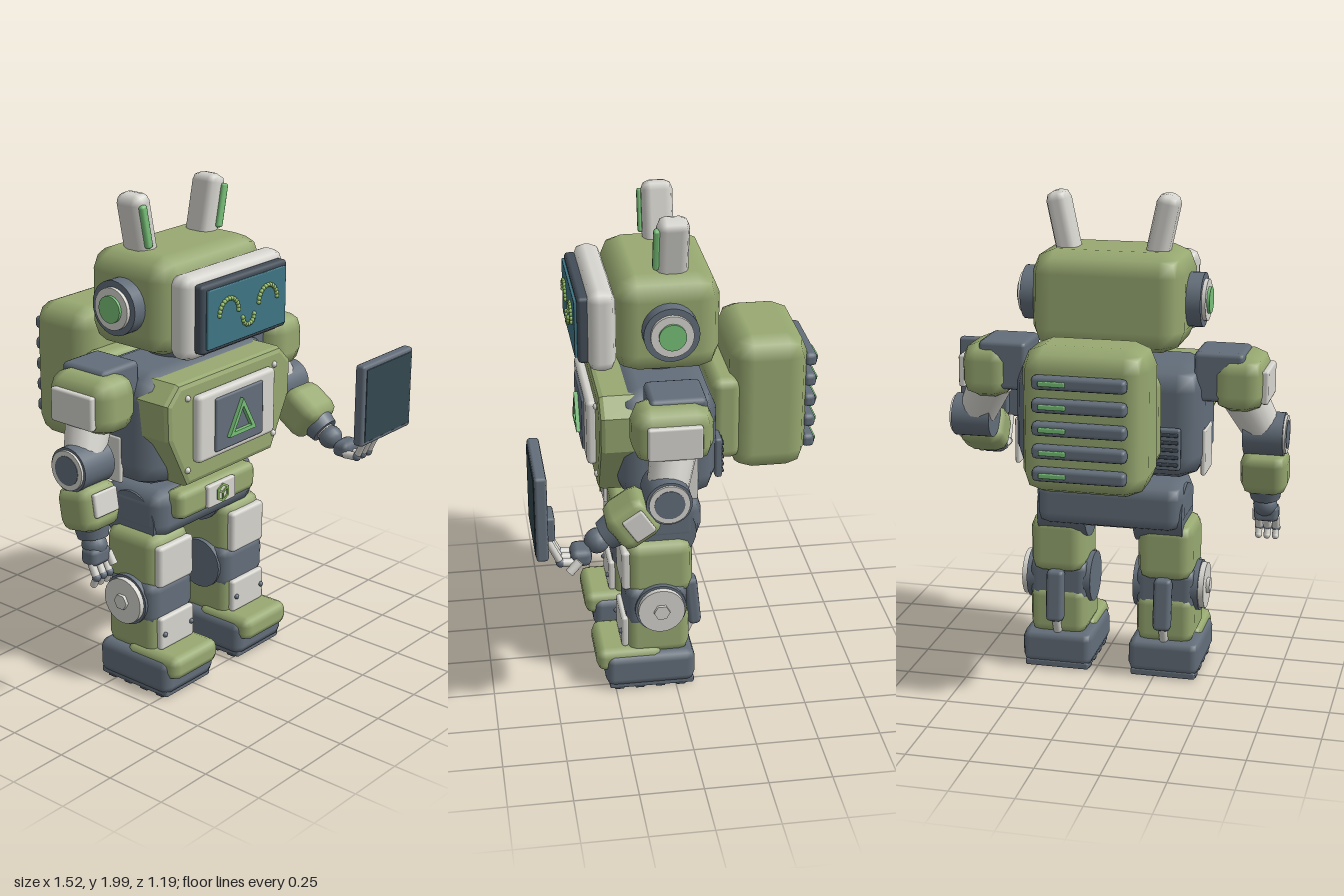
import * as THREE from 'three';

const paint = (name, color) => {
  const m = new THREE.MeshStandardMaterial({ color });
  m.name = name;
  return m;
};

// Box with rounded edges: flat faces, two-step fillets of size c
function softBox(w, h, d, c) {
  const g = new THREE.BoxGeometry(w, h, d, 3, 3, 3);
  const half = [w / 2, h / 2, d / 2];
  c = Math.min(c, ...half.map(v => v * 0.95));
  const p = g.attributes.position, n = g.attributes.normal;
  for (let i = 0; i < p.count; i++) {
    const v = [p.getX(i), p.getY(i), p.getZ(i)];
    const outer = v.map((q, k) => Math.abs(q) > half[k] * 0.9);
    const inset = [0, 0, 0.293, 0.423][outer.filter(Boolean).length] * c;
    const q = v.map((a, k) => Math.sign(a) * (half[k] - (outer[k] ? inset : c)));
    const nn = new THREE.Vector3(...v.map((a, k) => (outer[k] ? Math.sign(a) : 0))).normalize();
    p.setXYZ(i, ...q);
    n.setXYZ(i, nn.x, nn.y, nn.z);
  }
  return g;
}

// Flat polygon outline with n sides, first corner up
function polygonRing(n, r, width, depth) {
  const pts = rad => Array.from({ length: n }, (_, i) => {
    const a = Math.PI / 2 + (i * 2 * Math.PI) / n;
    return new THREE.Vector2(Math.cos(a) * rad, Math.sin(a) * rad);
  });
  const s = new THREE.Shape(pts(r));
  s.holes.push(new THREE.Path(pts(r - width / Math.cos(Math.PI / n))));
  return new THREE.ExtrudeGeometry(s, { depth, bevelEnabled: false });
}

export function createModel() {
  const green = paint('olive armour', 0x98a971), dark = paint('slate grey', 0x636e7a);
  const white = paint('warm white', 0xd6d5cf), bezel = paint('dark bezel', 0x434d58);
  const screen = paint('teal screen', 0x3f7584), glass = paint('tablet glass', 0x33474f);
  const glow = paint('signal green', 0x78c078), eye = paint('display green', 0x8fbb62);

  const root = new THREE.Group();
  const body = new THREE.Group();
  body.name = 'robot';
  body.position.x = -0.065;
  root.add(body);

  const add = (name, geo, mat, x, y, z, parent = body) => {
    const m = new THREE.Mesh(geo, mat);
    m.name = name;
    m.position.set(x, y, z);
    parent.add(m);
    return m;
  };
  const box = (name, mat, w, h, d, x, y, z, c = 0.02, parent = body) =>
    add(name, softBox(w, h, d, c), mat, x, y, z, parent);
  const disc = (name, mat, r, w, x, y, z, parent = body, sides = 28) =>
    add(name, new THREE.CylinderGeometry(r, r, w, sides).rotateZ(Math.PI / 2), mat, x, y, z, parent);
  const ball = (name, mat, r, x, y, z, parent = body) =>
    add(name, new THREE.SphereGeometry(r, 14, 10), mat, x, y, z, parent);
  const rod = (name, mat, a, b, r, r2 = r) => {
    const A = new THREE.Vector3(...a), B = new THREE.Vector3(...b), d = B.clone().sub(A);
    const m = add(name, new THREE.CylinderGeometry(r2, r, d.length(), 16), mat, 0, 0, 0);
    m.position.copy(A).lerp(B, 0.5);
    m.quaternion.setFromUnitVectors(new THREE.Vector3(0, 1, 0), d.normalize());
  };

  // Head and face display
  box('head', green, 0.61, 0.395, 0.415, 0, 1.578, 0.022, 0.09);
  box('faceFrame', white, 0.584, 0.335, 0.11, 0, 1.565, 0.275, 0.045);
  box('faceBezel', bezel, 0.51, 0.27, 0.05, 0, 1.567, 0.341, 0.015);
  box('faceScreen', screen, 0.47, 0.23, 0.012, 0, 1.567, 0.371, 0.004);
  const beads = (name, x, y, r, start, count) => {
    for (let i = 0; i < count; i++) {
      const a = start + (Math.PI * i) / (count - 1);
      ball(name, eye, 0.009, x + r * Math.cos(a), y + r * Math.sin(a), 0.38);
    }
  };
  beads('eye', -0.117, 1.575, 0.056, 0, 13);
  beads('eye', 0.117, 1.575, 0.056, 0, 13);
  beads('smile', 0, 1.537, 0.034, Math.PI, 9);
  add('neck', new THREE.CylinderGeometry(0.15, 0.12, 0.1, 28), dark, 0, 1.35, 0.03);

  // Torso with chest panel
  box('torso', dark, 0.77, 0.465, 0.40, 0, 1.103, 0.035, 0.1);
  const plate = new THREE.Shape([[-0.30, 1.295], [-0.355, 1.24], [-0.35, 1.11], [-0.25, 0.915],
    [0.25, 0.915], [0.35, 1.11], [0.355, 1.24], [0.30, 1.295]].map(q => new THREE.Vector2(...q)));
  add('chestArmour', new THREE.ExtrudeGeometry(plate, { depth: 0.17, bevelSize: 0.022, bevelThickness: 0.022, bevelSegments: 2 }),
    green, 0, 0, 0.11);
  box('chestPanel', white, 0.47, 0.275, 0.045, 0, 1.122, 0.315, 0.018);
  box('chestDisplay', dark, 0.29, 0.22, 0.02, 0, 1.12, 0.337, 0.008);
  add('chestTriangle', polygonRing(3, 0.094, 0.016, 0.018), glow, 0, 1.105, 0.345);

  // Waist, pelvis and belt
  add('waist', new THREE.CylinderGeometry(0.155, 0.155, 0.12, 28), dark, 0, 0.865, 0.03);
  box('pelvis', dark, 0.61, 0.2, 0.31, 0, 0.735, 0.04, 0.06);
  box('belt', green, 0.47, 0.12, 0.09, 0, 0.775, 0.2, 0.03);
  box('buckle', white, 0.17, 0.095, 0.025, 0, 0.777, 0.247, 0.008);
  add('buckleHexagon', polygonRing(6, 0.04, 0.009, 0.008), eye, 0, 0.777, 0.257);
  for (let i = 0; i < 3; i++) {
    const a = Math.PI / 6 + (i * 2 * Math.PI) / 3;
    const spoke = add('buckleSpoke', new THREE.BoxGeometry(0.036, 0.008, 0.008), eye,
      0.018 * Math.cos(a), 0.777 + 0.018 * Math.sin(a), 0.261);
    spoke.rotation.z = a;
  }

  // Backpack with vents
  box('backpackMount', green, 0.47, 0.35, 0.12, 0, 1.14, -0.22, 0.04);
  box('backpack', green, 0.49, 0.575, 0.31, 0, 1.188, -0.395, 0.085);
  for (let i = 0; i < 5; i++) {
    const y = 1.355 - i * 0.089;
    box('backpackVent', dark, 0.366, 0.055, 0.05, 0, y, -0.565, 0.018);
    box('ventLight', glow, 0.105, 0.02, 0.012, 0.1, y, -0.592, 0.005);
  }

  for (const s of [-1, 1]) {
    // Ears and antennas
    disc('earBase', dark, 0.108, 0.075, s * 0.325, 1.577, 0.02);
    disc('earRing', white, 0.083, 0.02, s * 0.368, 1.577, 0.02);
    disc('earLight', glow, 0.053, 0.022, s * 0.378, 1.577, 0.02);
    const antenna = new THREE.Group();
    antenna.name = 'antenna';
    antenna.position.set(s * 0.2, 1.86, -0.005);
    antenna.rotation.z = -s * 0.21;
    body.add(antenna);
    box('antennaBlade', white, 0.09, 0.27, 0.125, 0, 0, 0, 0.035, antenna);
    box('antennaLight', glow, 0.032, 0.175, 0.025, s * 0.02, 0.015, 0.065, 0.01, antenna);

    // Torso details
    for (const y of [1.255, 0.963]) ball('chestScrew', white, 0.013, s * 0.265, y, 0.302);
    box('sidePlate', white, 0.02, 0.19, 0.15, s * 0.382, 0.98, -0.005, 0.008);
    box('backGrille', dark, 0.1, 0.17, 0.03, s * 0.26, 1.015, -0.175, 0.01);
    for (let i = 0; i < 5; i++) box('grilleSlat', bezel, 0.085, 0.014, 0.025, s * 0.26, 0.955 + i * 0.03, -0.185, 0.004);

    // Shoulder, upper arm and elbow
    box('shoulderJoint', dark, 0.2, 0.2, 0.22, s * 0.44, 1.29, 0.02, 0.02);
    box('shoulderPad', green, 0.205, 0.225, 0.31, s * 0.515, 1.262, 0.045, 0.07);
    box('shoulderPlate', white, 0.03, 0.135, 0.21, s * 0.618, 1.252, 0.045, 0.01);
    rod('upperArm', white, [s * 0.52, 1.2, 0.035], [s * 0.60, 1.04, 0.075], 0.092, 0.078);
    disc('elbow', dark, 0.088, 0.16, s * 0.605, 1.035, 0.078);
    disc('elbowRim', white, 0.078, 0.02, s * 0.685, 1.035, 0.078);
    disc('elbowCap', dark, 0.058, 0.01, s * 0.692, 1.035, 0.078);

    // Forearm, the left one raised
    const arm = new THREE.Group();
    arm.name = 'forearm';
    arm.position.set(s * 0.605, 1.035, 0.078);
    arm.rotation.x = s > 0 ? -0.98 : -0.16;
    body.add(arm);
    box('forearmShell', green, 0.19, 0.185, 0.175, 0, -0.16, 0, 0.05, arm);
    if (s > 0) box('forearmPlate', white, 0.02, 0.09, 0.105, 0.095, -0.14, 0, 0.008, arm);
    else box('forearmPlate', white, 0.125, 0.095, 0.02, 0, -0.14, 0.09, 0.008, arm);
    add('forearmCuff', new THREE.CylinderGeometry(0.07, 0.06, 0.05, 20), dark, 0, -0.26, 0, arm);
    add('wrist', new THREE.CylinderGeometry(0.04, 0.04, 0.06, 16), white, 0, -0.3, 0, arm);
    ball('wristJoint', dark, 0.05, 0, -0.32, 0, arm);

    // Leg
    const x = s * 0.225;
    disc('hip', dark, 0.125, 0.2, s * 0.2, 0.69, 0.035);
    box('thigh', green, 0.23, 0.25, 0.275, x, 0.54, 0.062, 0.055);
    box('thighPlate', white, 0.2, 0.175, 0.04, x, 0.538, 0.197, 0.015);
    box('kneeBlock', dark, 0.255, 0.19, 0.25, x, 0.375, 0.075, 0.045);
    disc('kneeJoint', dark, 0.105, 0.27, x, 0.375, 0.063);
    disc('kneeCap', white, 0.095, 0.03, s * 0.367, 0.375, 0.063);
    disc('kneeBolt', white, 0.033, 0.02, s * 0.386, 0.375, 0.063, body, 6);
    box('shin', green, 0.24, 0.21, 0.26, x, 0.25, 0.07, 0.045);
    box('shinPlate', white, 0.2, 0.14, 0.03, x, 0.252, 0.205, 0.012);
    for (const k of [-1, 1]) ball('shinScrew', dark, 0.011, x + k * 0.08, 0.25, 0.221);
    const piston = box('calfGuard', dark, 0.075, 0.22, 0.055, x, 0.33, -0.085, 0.02);
    piston.rotation.x = 0.1;
    rod('calfRod', white, [x, 0.25, -0.09], [x, 0.165, -0.05], 0.018);

    // Foot with treads
    box('boot', dark, 0.296, 0.145, 0.37, x, 0.09, 0.105, 0.035);
    box('toeCap', green, 0.27, 0.1, 0.27, x, 0.135, 0.19, 0.035);
    box('sole', dark, 0.27, 0.03, 0.35, x, 0.02, 0.1, 0.008);
    for (let i = 0; i < 4; i++) for (const k of [-1, 1])
      box('tread', bezel, 0.05, 0.02, 0.04, x + k * 0.11, 0.01, -0.02 + i * 0.085, 0.005);
  }

  // Relaxed right hand
  box('rightPalm', dark, 0.1, 0.07, 0.075, -0.61, 0.685, 0.14, 0.02);
  for (let i = 0; i < 3; i++) {
    const x = -0.645 + i * 0.035;
    rod('rightFinger', white, [x, 0.66, 0.15], [x, 0.61, 0.175], 0.016);
    ball('rightKnuckle', dark, 0.018, x, 0.61, 0.175);
    rod('rightFingertip', white, [x, 0.61, 0.175], [x, 0.575, 0.16], 0.014);
    ball('rightFingerEnd', white, 0.014, x, 0.577, 0.16);
  }
  rod('rightThumb', white, [-0.565, 0.69, 0.16], [-0.56, 0.64, 0.185], 0.016);

  // Left hand holding a tablet
  box('leftPalm', dark, 0.11, 0.07, 0.08, 0.63, 0.82, 0.41, 0.025);
  for (let i = 0; i < 3; i++) {
    const x = 0.59 + i * 0.04;
    rod('leftFinger', white, [x, 0.805, 0.43], [x, 0.81, 0.49], 0.017);
    ball('leftKnuckle', dark, 0.019, x, 0.81, 0.49);
    rod('leftFingertip', white, [x, 0.81, 0.49], [x, 0.915, 0.54], 0.014);
  }
  rod('leftThumb', white, [0.69, 0.82, 0.42], [0.7, 0.78, 0.46], 0.017);
  box('tabletGrip', dark, 0.11, 0.1, 0.04, 0.652, 0.97, 0.53, 0.01);
  box('tablet', dark, 0.345, 0.345, 0.046, 0.652, 1.078, 0.567, 0.012);
  box('tabletScreen', glass, 0.31, 0.31, 0.008, 0.652, 1.078, 0.589, 0.003);

  return root;
}
